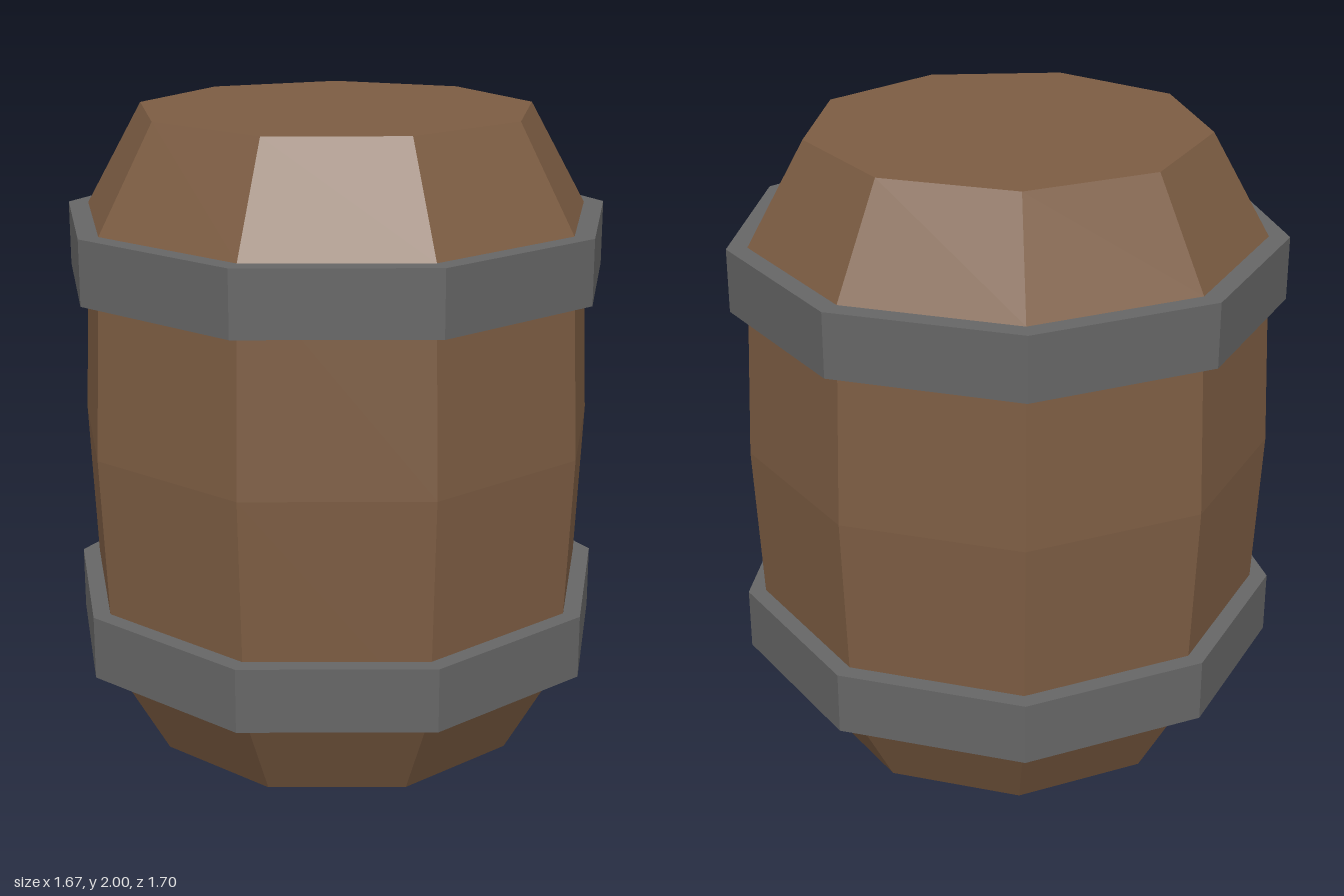
import * as THREE from 'three';

const SIDES = 9;

// Nine-sided solid of revolution with one corner pointing to +x
function turned(name, profile, color) {
  const points = profile.map(([r, y]) => new THREE.Vector2(r, y));
  const geometry = new THREE.LatheGeometry(points, SIDES, Math.PI / 2);
  const mesh = new THREE.Mesh(geometry, new THREE.MeshStandardMaterial({ color, flatShading: true }));
  mesh.name = name;
  return mesh;
}

export function createModel() {
  const barrel = new THREE.Group();
  barrel.name = 'barrel';

  // Wooden body: tapered ends, slightly bulging staves, flat lids
  barrel.add(turned('woodenBody', [
    [0, 0], [0.617, 0], [0.797, 0.32], [0.827, 1], [0.797, 1.68], [0.617, 2], [0, 2],
  ], 0x7d5d43));

  // Metal hoops: rectangular cross-section, inner face sunk into the wood
  for (const [name, y] of [['lowerHoop', 0.3], ['upperHoop', 1.48]]) {
    barrel.add(turned(name, [
      [0.861, y], [0.861, y + 0.2], [0.77, y + 0.2], [0.77, y], [0.861, y],
    ], 0x666666));
  }

  // The odd number of sides puts the axis slightly off the middle
  barrel.position.x = -0.026;
  const model = new THREE.Group();
  model.name = 'model';
  model.add(barrel);
  return model;
}
